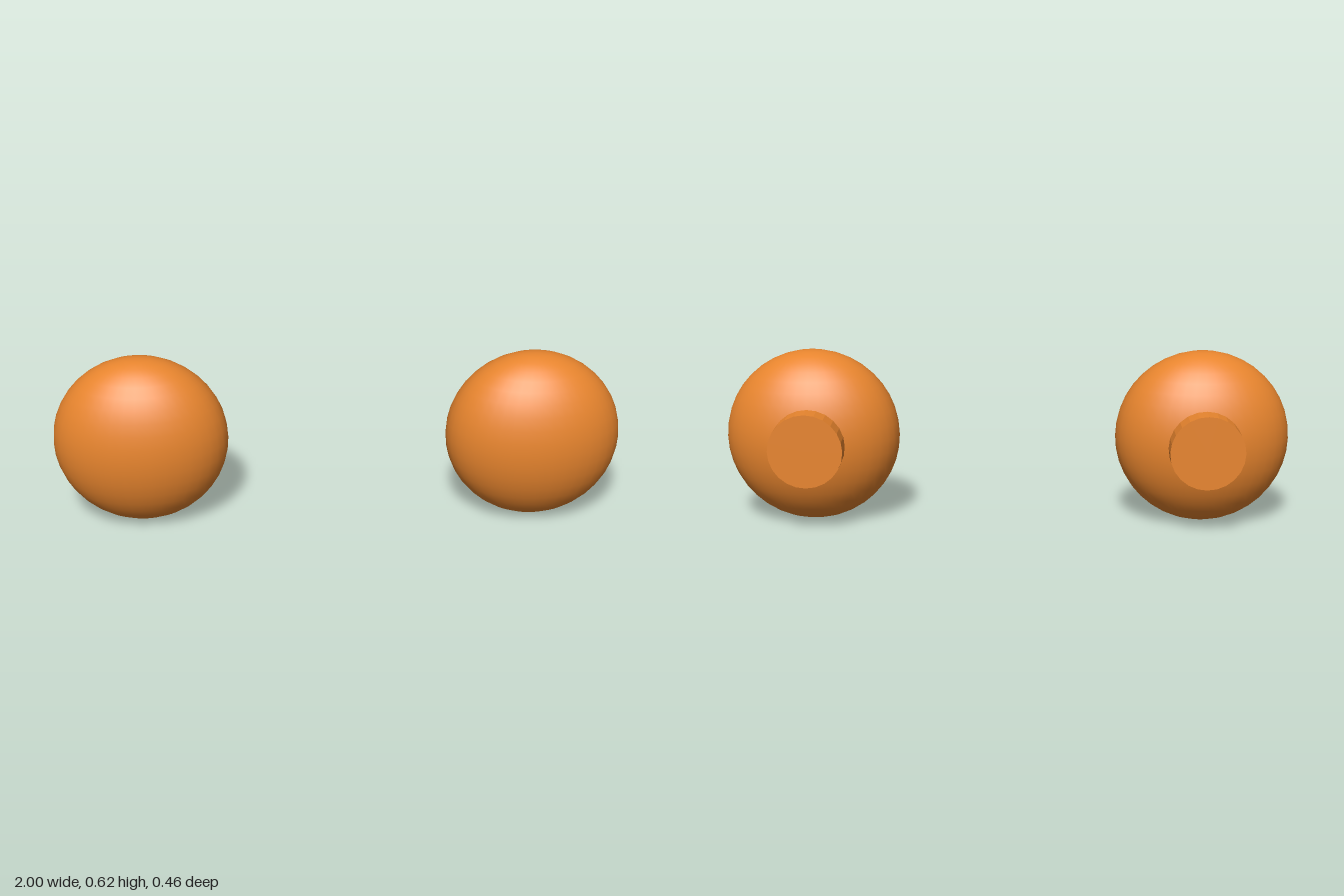
import * as THREE from 'three';

const RADIUS = 0.3075;
const DEPTH = 0.2;

export function createModel() {
  const group = new THREE.Group();
  const smooth = new THREE.MeshStandardMaterial({ color: 0xe8852e });
  const faceted = new THREE.MeshStandardMaterial({ color: 0xe8852e, flatShading: true });

  // Flattened round knob
  const headGeometry = new THREE.SphereGeometry(1, 40, 20);
  headGeometry.scale(RADIUS, RADIUS, DEPTH);

  // Short mounting stem, running from inside the head to the back
  const stemGeometry = new THREE.CylinderGeometry(0.13, 0.13, 0.15, 24);
  stemGeometry.rotateX(Math.PI / 2);

  // Matching pair, one on each side
  for (const [name, side] of [['left', 1], ['right', -1]]) {
    const knob = new THREE.Group();
    knob.name = name + 'Knob';
    knob.position.set(side * (1 - RADIUS), RADIUS, 0);

    const head = new THREE.Mesh(headGeometry, smooth);
    head.name = name + 'KnobHead';
    head.position.z = 0.03;

    const stem = new THREE.Mesh(stemGeometry, faceted);
    stem.name = name + 'KnobStem';
    stem.position.z = -0.155;

    knob.add(head, stem);
    group.add(knob);
  }
  return group;
}
